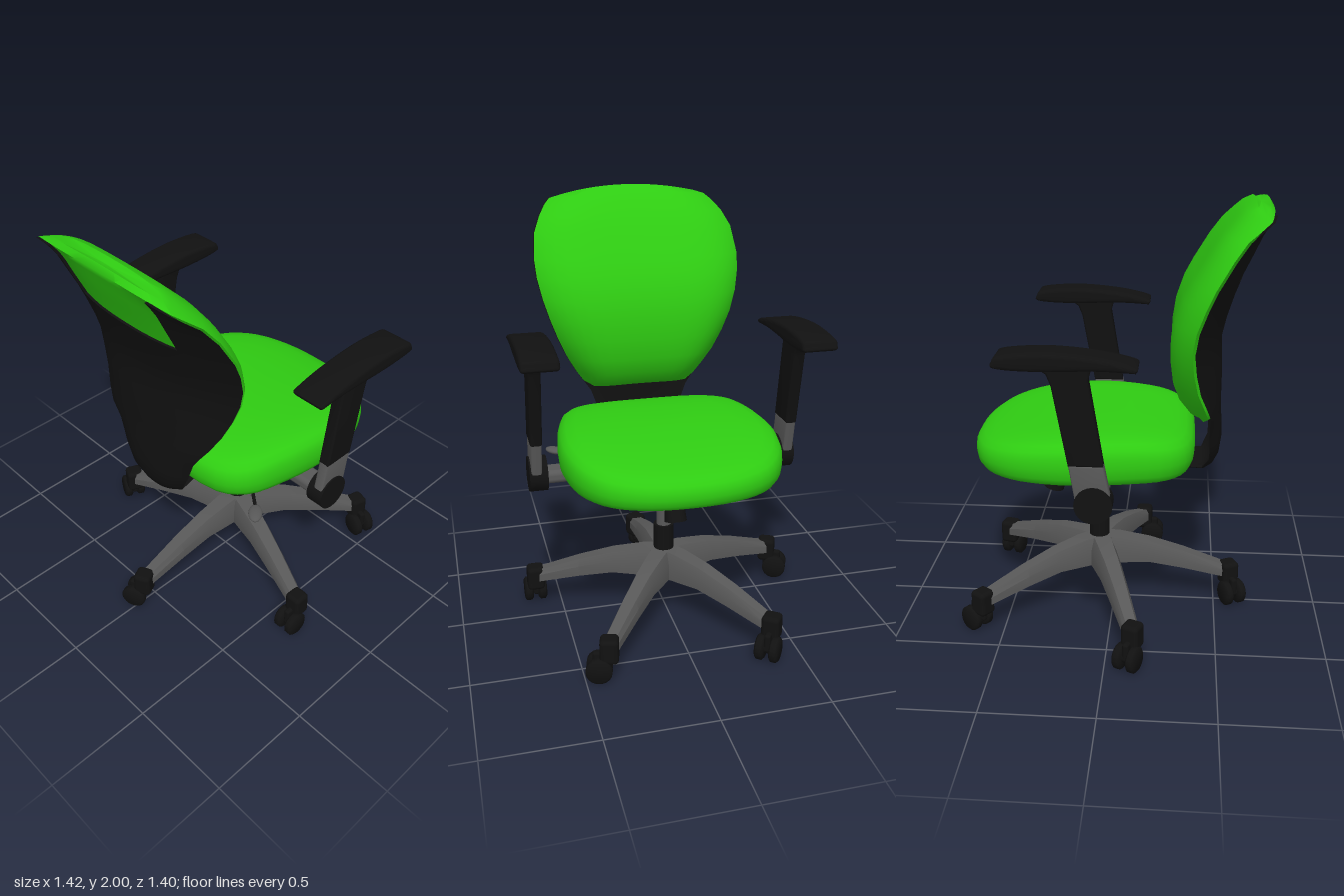
import * as THREE from 'three';
import { toCreasedNormals } from 'three/addons/utils/BufferGeometryUtils.js';
import { RoundedBoxGeometry } from 'three/addons/geometries/RoundedBoxGeometry.js';

const paint = (color) => new THREE.MeshStandardMaterial({ color, side: THREE.DoubleSide });
const green = paint(0x2fcc12), black = paint(0x111111), grey = paint(0x585858);
const lerp = THREE.MathUtils.lerp;

function add(parent, name, geometry, material, x = 0, y = 0, z = 0) {
  const mesh = new THREE.Mesh(geometry, material);
  mesh.name = name;
  mesh.position.set(x, y, z);
  parent.add(mesh);
  return mesh;
}

// Closed skin over rings of [x, y, z] points, capped at both ends, faces turned outward
function loft(rings, crease = 0.8) {
  const n = rings[0].length, pts = rings.flat(), tris = [];
  for (let r = 0; r < rings.length - 1; r++)
    for (let i = 0; i < n; i++) {
      const a = r * n + i, b = r * n + (i + 1) % n;
      tris.push([a, b, b + n], [a, b + n, a + n]);
    }
  [0, rings.length - 1].forEach((r) => {
    const centre = [0, 1, 2].map((k) => rings[r].reduce((s, p) => s + p[k], 0) / n);
    const c = pts.push(centre) - 1;
    for (let i = 0; i < n; i++) {
      const a = r * n + i, b = r * n + (i + 1) % n;
      tris.push(r ? [c, a, b] : [c, b, a]);
    }
  });
  const v = pts.map((p) => new THREE.Vector3(...p));
  const volume = tris.reduce((s, [a, b, c]) => s + v[a].dot(v[b].clone().cross(v[c])), 0);
  const geo = new THREE.BufferGeometry().setFromPoints(v);
  geo.setIndex(tris.flatMap(([a, b, c]) => (volume < 0 ? [a, c, b] : [a, b, c])));
  return toCreasedNormals(geo, crease);
}

// Side outline of [z, y] points, extruded across x and centred
function sideExtrude(points, width, bevel, smooth) {
  const shape = new THREE.Shape();
  shape.moveTo(...points[0]);
  if (smooth) shape.splineThru([...points.slice(1), points[0]].map((p) => new THREE.Vector2(...p)));
  else points.slice(1).forEach((p) => shape.lineTo(...p));
  const geo = new THREE.ExtrudeGeometry(shape, {
    depth: width - 2 * bevel, bevelSize: bevel, bevelThickness: bevel, bevelOffset: -bevel, bevelSegments: 3, curveSegments: 5,
  });
  geo.translate(0, 0, bevel - width / 2).rotateY(-Math.PI / 2);
  return toCreasedNormals(geo, 0.7);
}

// Back section: outer and inner [z, y] lines both bend to the rim at u = -1 and 1
function backRing({ w, outer, inner, rim, power = 2.5, hollow = 0 }, u0 = -1, u1 = 1) {
  const N = 20, ring = [];
  const point = (u, line, p) => {
    const k = Math.abs(u) ** p, y = lerp(line[1], rim[1], k);
    const sag = 0.035 * u * u * Math.max(0, (y - 1.85) / 0.15);
    const dish = line === inner ? hollow * (1 - u * u) : 0;
    ring.push([u * w, y - sag, lerp(line[0], rim[0], k) + dish]);
  };
  const at = (i) => lerp(u0, u1, 0.5 - 0.5 * Math.cos((Math.PI * i) / N));
  for (let i = 0; i <= N; i++) point(at(i), outer, 2.5);
  for (let i = N - 1; i > 0; i--) point(at(i), inner, power);
  return ring;
}

function makeBackrest() {
  const g = new THREE.Group();
  g.name = 'backrest';
  // height, half width, back z, rim z, front z
  const table = [
    [1.06, 0.29, 0.50, 0.45, 0.33], [1.12, 0.33, 0.50, 0.43, 0.285], [1.2, 0.375, 0.50, 0.40, 0.257],
    [1.3, 0.42, 0.497, 0.38, 0.245], [1.4, 0.457, 0.493, 0.37, 0.245], [1.5, 0.487, 0.515, 0.385, 0.26],
    [1.6, 0.508, 0.545, 0.42, 0.295], [1.68, 0.513, 0.575, 0.455, 0.338], [1.8, 0.50, 0.63, 0.525, 0.41],
    [1.88, 0.465, 0.665, 0.58, 0.465], [1.94, 0.43, 0.69, 0.64, 0.52], [1.975, 0.40, 0.706, 0.675, 0.555],
  ];
  const cushion = [[1.032, 0.24, 0.45, 0.43, 0.385], ...table, [2.0, 0.34, 0.69, 0.655, 0.6]];
  add(g, 'backCushion', loft(cushion.map(([y, w, b, r, f]) => backRing({
    w: w * 0.995, outer: [b - 0.012, y], inner: [f, y], rim: [r - 0.012, y], power: 5, hollow: 0.02,
  })), 1.1), green);

  // Shell with a curved tail that runs under the seat
  const tail = [
    [0.12, [0.33, 0.73], [0.33, 0.765], [0.33, 0.765]], [0.14, [0.43, 0.735], [0.42, 0.768], [0.42, 0.768]],
    [0.155, [0.475, 0.765], [0.45, 0.785], [0.43, 0.79]], [0.18, [0.50, 0.82], [0.47, 0.825], [0.45, 0.825]],
    [0.215, [0.51, 0.9], [0.48, 0.9], [0.45, 0.9]], [0.25, [0.505, 1.0], [0.475, 1.0], [0.447, 1.0]],
  ].map(([w, outer, inner, rim]) => ({ w, outer, inner, rim }));
  const shell = table.map(([y, w, b, r]) => ({ w, outer: [b, y], inner: [b - 0.03, y], rim: [r, y] }));
  add(g, 'backShell', loft([...tail, ...shell.slice(0, 8)].map((s) => backRing(s))), black);
  // Two horns beside the open panel
  for (const s of [-1, 1])
    add(g, 'shellHorn', loft(shell.slice(7).map((row) => backRing(row, (s * 0.29) / row.w, s))), black);
  return g;
}

function makeSeat() {
  const half = [[0.2, -0.63], [0.36, -0.56], [0.46, -0.43], [0.505, -0.25], [0.505, -0.1],
    [0.475, 0.1], [0.42, 0.27], [0.31, 0.36]];
  const loop = [[0, -0.65], ...half, [0, 0.385], ...half.map(([x, z]) => [-x, z]).reverse()];
  const curve = new THREE.CatmullRomCurve3(loop.map(([x, z]) => new THREE.Vector3(x, 0, z)), true);
  const outline = curve.getPoints(56).slice(0, -1);
  // scale of outline, height from underside to top
  const levels = [[0.4, 0], [0.9, 0], [0.96, 0.05], [0.99, 0.2], [1, 0.42], [0.995, 0.65], [0.97, 0.8],
    [0.92, 0.9], [0.83, 0.96], [0.65, 0.99], [0.4, 1], [0.1, 1]];
  return loft(levels.map(([s, f]) => outline.map((p) => {
    const z = -0.13 + (p.z + 0.13) * s;
    const top = 1.015 - (z < 0 ? 0.19 : 0.25) * z * z;
    return [p.x * s, 0.8 + f * (top - 0.8), z];
  })), 1.1);
}

function makeCaster(turn) {
  const g = new THREE.Group();
  g.name = 'caster';
  g.rotation.y = turn;
  const profile = [[0, -0.02], [0.05, -0.02], [0.06, -0.012], [0.06, 0.012], [0.05, 0.02], [0, 0.02]];
  const wheel = new THREE.LatheGeometry(profile.map((p) => new THREE.Vector2(...p)), 18);
  wheel.rotateZ(Math.PI / 2);
  for (const s of [-1, 1]) add(g, 'wheel', toCreasedNormals(wheel, 0.9), black, s * 0.034, 0.06, 0.045);
  add(g, 'casterStem', new RoundedBoxGeometry(0.085, 0.12, 0.085, 3, 0.02), black, 0, 0.15, 0);
  add(g, 'casterAxle', new THREE.CylinderGeometry(0.03, 0.03, 0.05, 12).rotateZ(Math.PI / 2), black, 0, 0.065, 0.045);
  add(g, 'casterHood', new RoundedBoxGeometry(0.03, 0.09, 0.09, 2, 0.012), black, 0, 0.095, 0.03);
  return g;
}

function makeBase() {
  const g = new THREE.Group();
  g.name = 'base';
  g.position.z = -0.075;
  // radius, top, underside, half width
  const sections = [[0, 0.345, 0.2, 0.062], [0.1, 0.342, 0.21, 0.06], [0.25, 0.318, 0.215, 0.052],
    [0.42, 0.27, 0.185, 0.045], [0.62, 0.2, 0.14, 0.036]];
  const leg = loft(sections.map(([r, t, b, w]) => [
    [-w, b, r], [w, b, r], [w, lerp(b, t, 0.6), r], [w * 0.65, t, r], [-w * 0.65, t, r], [-w, lerp(b, t, 0.6), r],
  ]), 0.45);
  const swivel = [[-0.9, 0.45], [0, 1], [1, 0.25], [0.6, -0.8], [-1, -0.45]];
  swivel.forEach(([dx, dz], i) => {
    const a = (i * Math.PI * 2) / 5;
    add(g, 'baseLeg', leg, grey).rotation.y = a;
    const caster = makeCaster(Math.atan2(dx, dz));
    caster.position.set(Math.sin(a) * 0.645, 0, Math.cos(a) * 0.645);
    g.add(caster);
  });
  add(g, 'hub', new THREE.CylinderGeometry(0.075, 0.085, 0.14, 20), grey, 0, 0.27, 0);
  add(g, 'columnSleeve', new THREE.CylinderGeometry(0.049, 0.049, 0.17, 20), black, 0, 0.385, 0);
  add(g, 'gasColumn', new THREE.CylinderGeometry(0.036, 0.036, 0.3, 20), grey, 0, 0.58, 0);
  add(g, 'columnCollar', new THREE.CylinderGeometry(0.065, 0.06, 0.07, 20), black, 0, 0.71, 0);
  return g;
}

function makeArm(side) {
  const g = new THREE.Group();
  g.name = side > 0 ? 'leftArm' : 'rightArm';
  g.position.x = side * 0.608;
  add(g, 'armBar', new RoundedBoxGeometry(0.27, 0.065, 0.11, 3, 0.025), grey, -side * 0.155, 0.775, -0.045);
  add(g, 'armPivot', toCreasedNormals(new THREE.CylinderGeometry(0.083, 0.083, 0.085, 24).rotateZ(Math.PI / 2), 0.7),
    black, -side * 0.01, 0.785, -0.045);
  add(g, 'armLowerPost', sideExtrude([[0.035, 0.78], [-0.12, 0.78], [-0.15, 0.965], [0, 0.965]], 0.05, 0.01), grey);
  add(g, 'armUpperPost', sideExtrude([[0, 0.96], [-0.15, 0.96], [-0.215, 1.31], [-0.235, 1.36], [-0.29, 1.4],
    [0, 1.41], [-0.05, 1.38], [-0.062, 1.34]], 0.056, 0.01), black);
  add(g, 'armPad', sideExtrude([[0.135, 1.385], [0.13, 1.41], [-0.02, 1.443], [-0.23, 1.46], [-0.41, 1.448],
    [-0.445, 1.425], [-0.435, 1.395], [-0.27, 1.385], [-0.02, 1.392]], 0.165, 0.015, true), black);
  return g;
}

function makeMechanism() {
  const g = new THREE.Group();
  g.name = 'mechanism';
  add(g, 'spineBar', new RoundedBoxGeometry(0.16, 0.036, 0.42, 2, 0.01), black, 0, 0.752, 0.15);
  add(g, 'tiltHousing', new RoundedBoxGeometry(0.17, 0.07, 0.34, 3, 0.02), grey, 0, 0.765, -0.09);
  // Crossed mounting plates
  for (const s of [-1, 1])
    add(g, 'mountingPlate', new THREE.BoxGeometry(0.08, 0.02, 0.48), grey, 0, 0.792, -0.1).rotation.y = s * 0.7;
  const knob = add(g, 'tensionKnob', new THREE.CylinderGeometry(0.035, 0.052, 0.18, 18), black, 0, 0.675, -0.275);
  knob.rotation.x = 0.3;
  // Height lever
  const path = new THREE.CatmullRomCurve3([[0.05, 0.765, -0.03], [0.2, 0.77, 0.05], [0.35, 0.765, 0.18], [0.44, 0.76, 0.25]]
    .map((p) => new THREE.Vector3(...p)));
  add(g, 'leverRod', new THREE.TubeGeometry(path, 16, 0.008, 8), black);
  const paddle = add(g, 'leverPaddle', new THREE.SphereGeometry(1, 16, 10), grey, 0.47, 0.757, 0.28);
  paddle.scale.set(0.032, 0.016, 0.055);
  paddle.rotation.y = 0.75;
  return g;
}

export function createModel() {
  const model = new THREE.Group();
  model.name = 'officeChair';
  const chair = new THREE.Group();
  chair.name = 'chair';
  chair.position.x = 0.012;
  model.add(chair);
  add(chair, 'seat', makeSeat(), green);
  chair.add(makeBackrest(), makeBase(), makeMechanism(), makeArm(1), makeArm(-1));
  return model;
}
